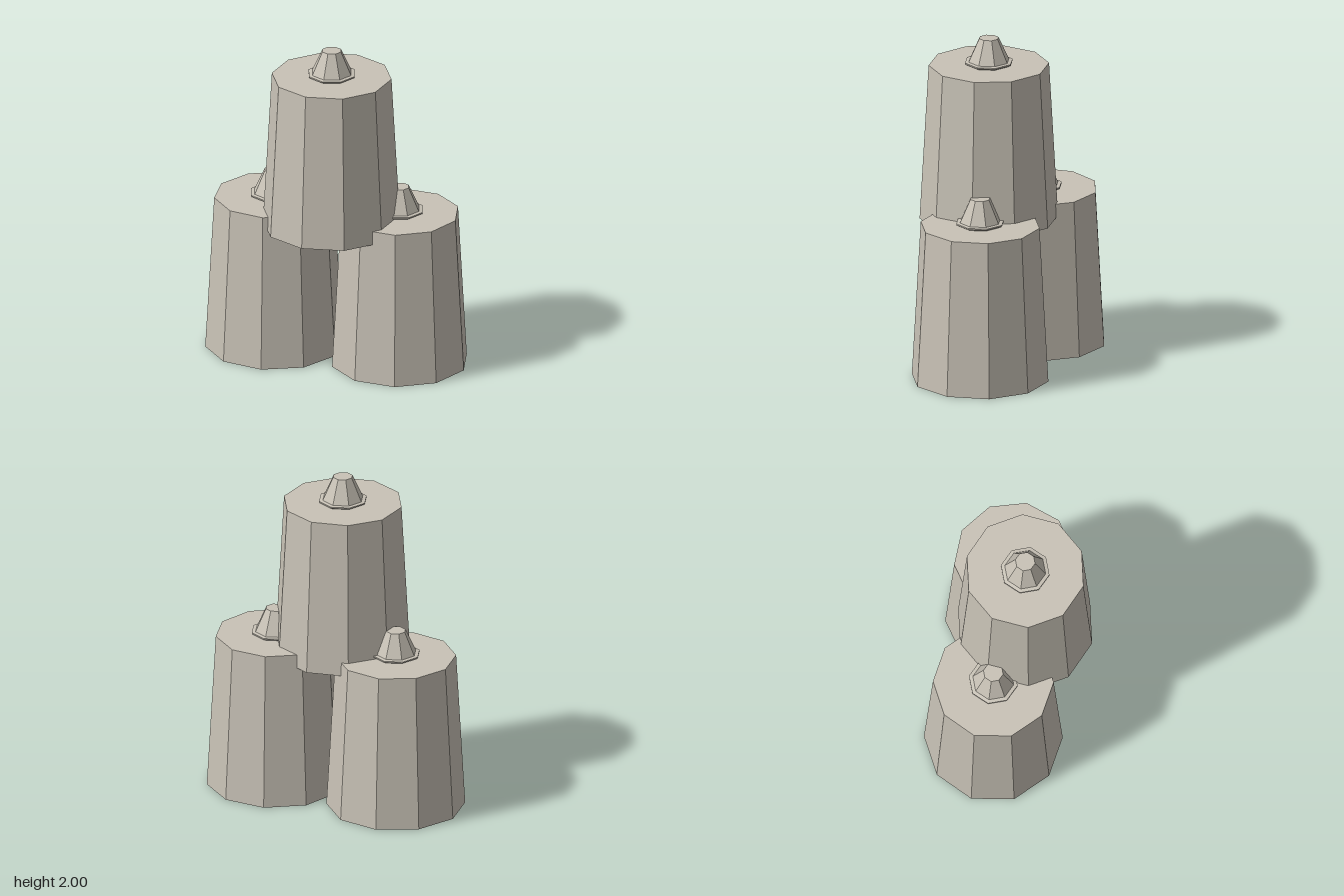
import * as THREE from 'three';

const stone = new THREE.MeshStandardMaterial({ color: 0xc8c2b6, flatShading: true });
stone.name = 'warm grey';

// ten-sided tapered body, standing on its base
const bodyGeometry = new THREE.CylinderGeometry(0.36, 0.414, 0.96, 10).translate(0, 0.48, 0);

// eight-sided flanged nozzle, closed at the top
const nozzleProfile = [
  [0, 0], [0.125, 0], [0.148, 0.012], [0.148, 0.02], [0.125, 0.023], [0.06, 0.165], [0, 0.165],
].map(([r, y]) => new THREE.Vector2(r, y));
const nozzleGeometry = new THREE.LatheGeometry(nozzleProfile, 8);

function createCanister(name, x, y, z, turn) {
  const canister = new THREE.Group();
  canister.name = name;
  canister.position.set(x, y, z);

  const body = new THREE.Mesh(bodyGeometry, stone);
  body.name = 'body';
  body.rotation.y = THREE.MathUtils.degToRad(turn);

  const nozzle = new THREE.Mesh(nozzleGeometry, stone);
  nozzle.name = 'nozzle';
  nozzle.position.y = 0.96;

  canister.add(body, nozzle);
  return canister;
}

export function createModel() {
  const model = new THREE.Group();
  model.name = 'canisterStack';
  // two canisters on the ground, one stacked across them
  model.add(
    createCanister('rightCanister', -0.398, 0, -0.045, 11.6),
    createCanister('leftCanister', 0.393, 0, -0.088, 18.4),
    createCanister('topCanister', 0.017, 0.877, 0.06, -3.2),
  );
  return model;
}
